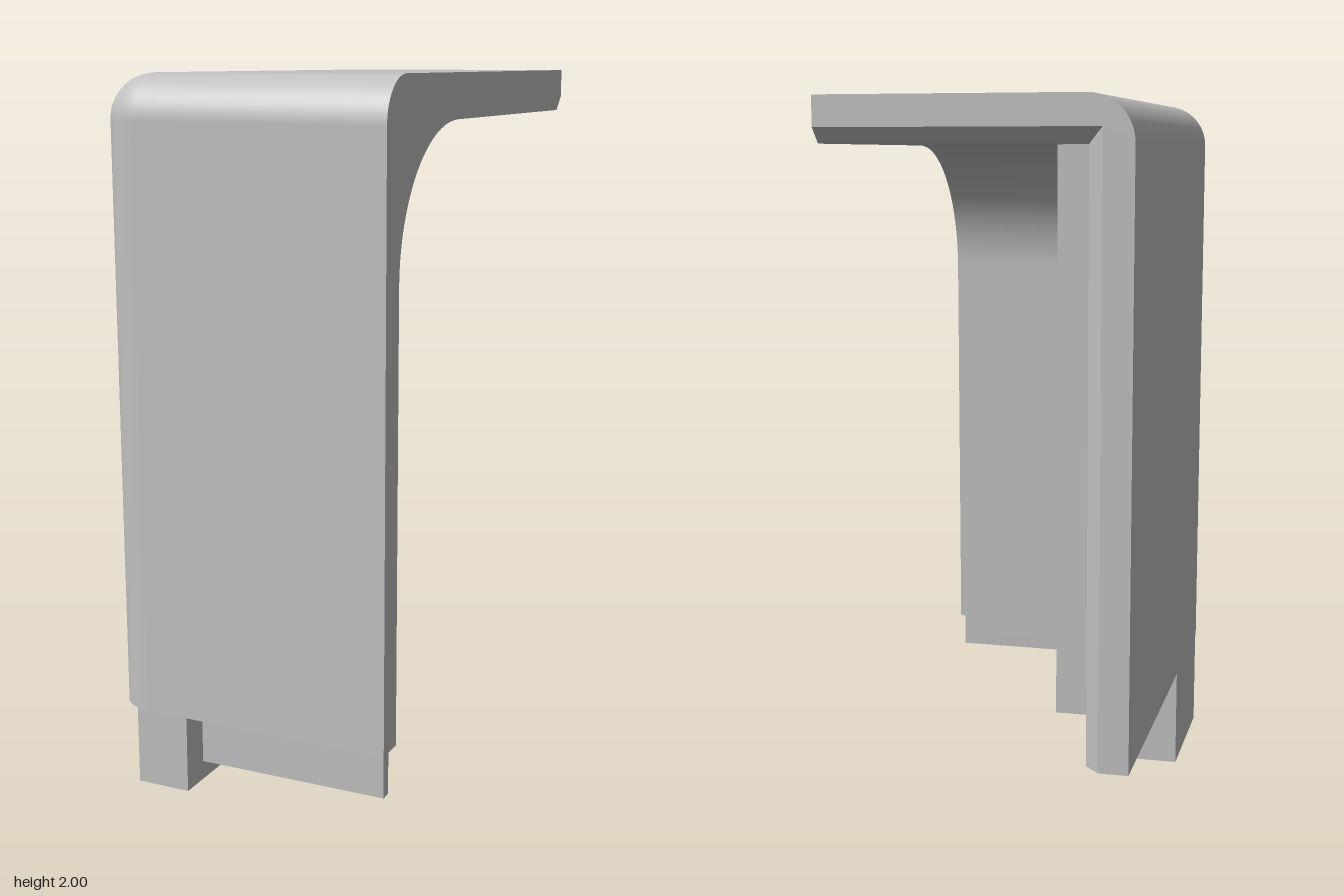
import * as THREE from 'three';
import { toCreasedNormals } from 'three/addons/utils/BufferGeometryUtils.js';

// Main dimensions
const X = 0.41, Z = 0.68, TOP = 2, BASE = 0.285, R = 0.12;
const THICK = -0.125, THIN = -0.29, STEP = -0.265; // inner faces of the side wall
const CEIL = 1.88, INNER = 0.6, ARCH = 0.39;       // vault under the top slab
const CH = 0.04;                                   // back chamfer
const SEG = 20;

// Points on a quarter circle, from angle a to angle b
function arc(cx, cy, r, a, b) {
  return Array.from({ length: SEG + 1 }, (_, i) => {
    const t = a + (b - a) * i / SEG;
    return [cx + r * Math.cos(t), cy + r * Math.sin(t)];
  });
}

// Surface through a series of point rows
function loft(rows) {
  const n = rows[0].length, index = [];
  for (let i = 0; i < rows.length - 1; i++) {
    for (let j = 0; j < n - 1; j++) {
      const a = i * n + j, b = a + n;
      index.push(a, b, a + 1, b, b + 1, a + 1);
    }
  }
  const g = new THREE.BufferGeometry();
  g.setAttribute('position', new THREE.Float32BufferAttribute(rows.flat(2), 3));
  g.setIndex(index);
  g.computeVertexNormals();
  return g;
}

const face = pts => new THREE.ShapeGeometry(new THREE.Shape(pts.map(p => new THREE.Vector2(...p))));
// Flat faces: points are [z, y], [x, y] or [x, z]
const facePlusX = (pts, x) => face(pts.map(([z, y]) => [-z, y])).rotateY(Math.PI / 2).translate(x, 0, 0);
const faceMinusX = (pts, x) => face(pts).rotateY(-Math.PI / 2).translate(x, 0, 0);
const faceBack = (pts, z) => face(pts.map(([x, y]) => [-x, y])).rotateY(Math.PI).translate(0, 0, z);
const faceDown = (pts, y) => face(pts).rotateX(Math.PI / 2).translate(0, y, 0);
const rect = (a0, a1, b0, b1) => [[a0, b0], [a1, b0], [a1, b1], [a0, b1]];

export function createModel() {
  const group = new THREE.Group();
  const grey = new THREE.MeshStandardMaterial({ color: 0xc0c0c0 });
  grey.name = 'grey';
  const add = (name, geometry) => {
    const m = new THREE.Mesh(geometry, grey);
    m.name = name;
    group.add(m);
  };
  const box = (name, x0, x1, y0, y1, z0, z1) => add(name,
    new THREE.BoxGeometry(x1 - x0, y1 - y0, z1 - z0).translate((x0 + x1) / 2, (y0 + y1) / 2, (z0 + z1) / 2));

  // Top and front profile as [z, y], inset with a shrinking corner radius
  const outer = o => [[-Z, TOP - o], ...arc(Z - R, TOP - R, R - o, Math.PI / 2, 0), [Z - o, BASE]];
  const skin = [outer(0).map(([z, y]) => [X, y, z])];
  for (let i = 0; i <= SEG; i++) {
    const t = Math.PI / 2 * i / SEG, x = R - X - R * Math.sin(t);
    skin.push(outer(R * (1 - Math.cos(t))).map(([z, y]) => [x, y, z]));
  }
  add('outerShell', loft(skin));
  add('outerSide', faceMinusX(rect(-Z, Z - R, BASE, TOP - R), -X));

  // Vaulted inside of the front wall and top slab
  const vault = [[INNER, BASE], ...arc(INNER - ARCH, CEIL - ARCH, ARCH, 0, Math.PI / 2), [STEP, CEIL]];
  add('innerVault', loft([X, THICK].map(x => vault.map(([z, y]) => [x, y, z]))));
  add('thickWallInside', facePlusX([...vault, [STEP, BASE]], THICK));

  // Open edge of the shell
  add('openRim', facePlusX([...outer(0), ...vault, [CH - Z, CEIL], [-Z, CEIL + CH]], X));

  // Recess behind the thick wall
  add('wallStep', faceBack(rect(THIN, THICK, BASE, CEIL), STEP));
  add('thinWallInside', facePlusX(rect(CH - Z, STEP, BASE, CEIL), THIN));
  add('recessCeiling', faceDown(rect(THIN, X, CH - Z, STEP), CEIL));

  // Chamfered back edge
  const edge = (d, z) => [[X, CEIL + d, z], [THIN - d, CEIL + d, z], [THIN - d, BASE, z]];
  add('backChamfer', toCreasedNormals(loft([edge(CH, -Z), edge(0, CH - Z)]), 0.3));
  add('backEdge', faceBack([
    [X, TOP], ...arc(R - X, TOP - R, R, Math.PI / 2, Math.PI), [-X, BASE],
    [THIN - CH, BASE], [THIN - CH, CEIL + CH], [X, CEIL + CH]], -Z));

  // Underside of the walls
  add('underside', faceDown([
    [X, Z], ...arc(R - X, Z - R, R, Math.PI / 2, Math.PI), [-X, -Z],
    [THIN - CH, -Z], [THIN, CH - Z], [THIN, STEP], [THICK, STEP], [THICK, INNER], [X, INNER]], BASE));

  // Projections below the walls
  box('sideTab', -X, -0.25, 0, BASE, 0.15, 0.555);
  box('frontLip', THICK, X, 0.17, BASE, 0.65, Z);

  return group;
}
